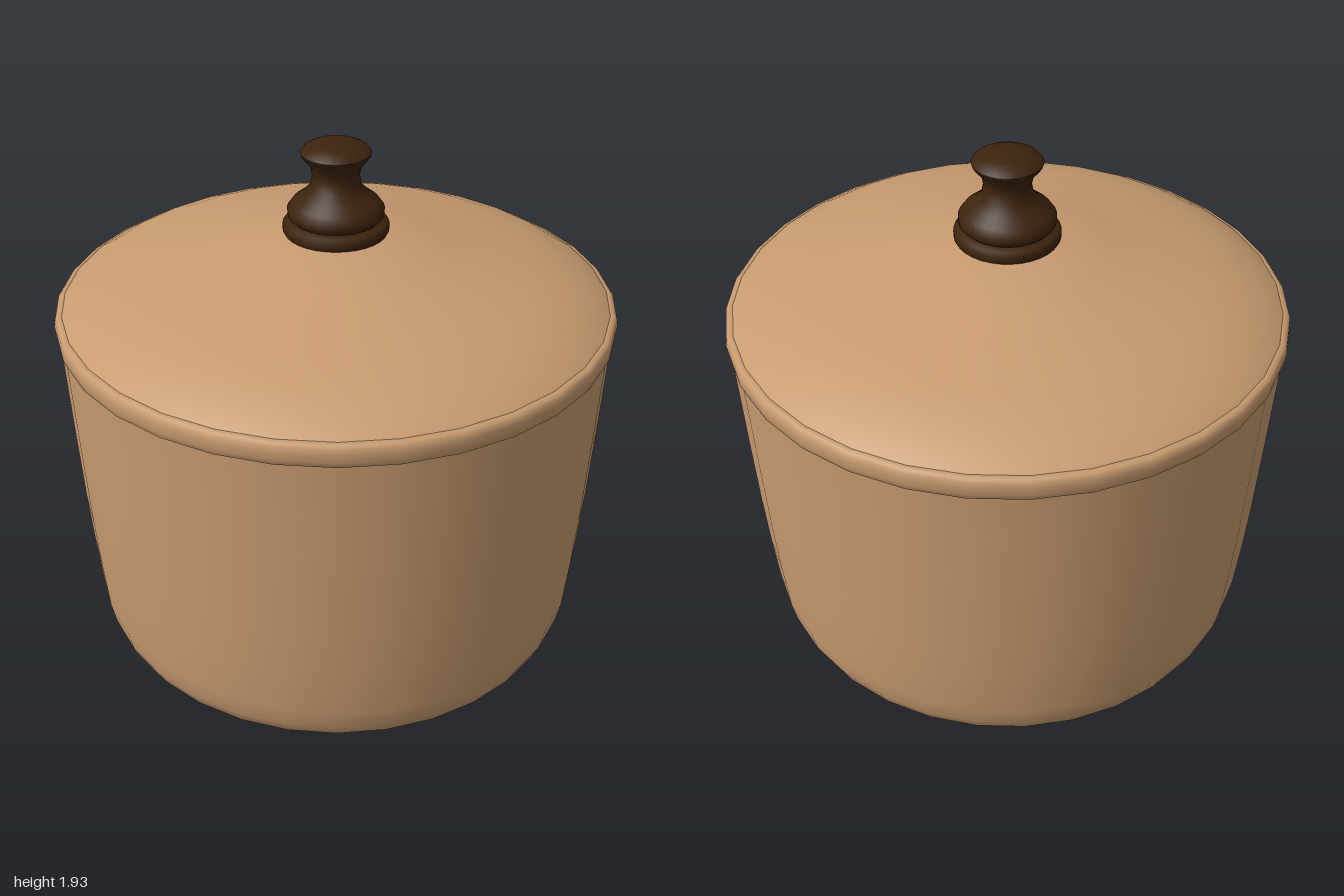
import * as THREE from 'three';

const SIDES = 32;

// Turn a profile of [radius, height] pairs around the vertical axis, bottom to top.
function turned(name, profile, material) {
  const points = profile.map(([r, y]) => new THREE.Vector2(r, y));
  const mesh = new THREE.Mesh(new THREE.LatheGeometry(points, SIDES), material);
  mesh.name = name;
  return mesh;
}

export function createModel() {
  const clay = new THREE.MeshStandardMaterial({ color: 0xc89b70 });
  clay.name = 'tan clay';
  const wood = new THREE.MeshStandardMaterial({ color: 0x3c230c });
  wood.name = 'dark wood';

  const pot = new THREE.Group();
  pot.name = 'lidded pot';

  // Slightly flared body with a rounded foot
  pot.add(turned('body', [
    [0, 0], [0.4, 0.005], [0.78, 0.016], [0.85, 0.035], [0.89, 0.07],
    [0.912, 0.12], [0.928, 0.2], [0.945, 0.4], [0.958, 0.6],
    [0.972, 0.9], [0.98, 1.1], [0.988, 1.28],
  ], clay));

  // Rounded band around the mouth
  pot.add(turned('rim', [
    [0.985, 1.275], [0.993, 1.28], [0.998, 1.3], [1, 1.325],
    [0.997, 1.345], [0.988, 1.355], [0.974, 1.36], [0.96, 1.352],
  ], clay));

  // Lid with a curved shoulder and a conical centre
  const lid = new THREE.Group();
  lid.name = 'lid';
  lid.add(turned('lidCover', [
    [0.976, 1.355], [0.965, 1.366], [0.9, 1.405], [0.81, 1.441], [0.7, 1.475],
    [0.53, 1.514], [0.36, 1.557], [0.19, 1.602], [0, 1.61],
  ], clay));

  // Turned knob: base ring, bulb, waist and flared cap
  lid.add(turned('knobBase', [
    [0.18, 1.6], [0.187, 1.612], [0.187, 1.632], [0.178, 1.645], [0.15, 1.652],
  ], wood));
  lid.add(turned('knobGrip', [
    [0.15, 1.648], [0.168, 1.665], [0.17, 1.69], [0.152, 1.715], [0.118, 1.74],
    [0.09, 1.77], [0.082, 1.81], [0.089, 1.845], [0.12, 1.883], [0.123, 1.893],
  ], wood));
  lid.add(turned('knobCap', [
    [0.123, 1.893], [0.11, 1.908], [0.08, 1.922], [0.04, 1.929], [0, 1.93],
  ], wood));
  pot.add(lid);

  return pot;
}
